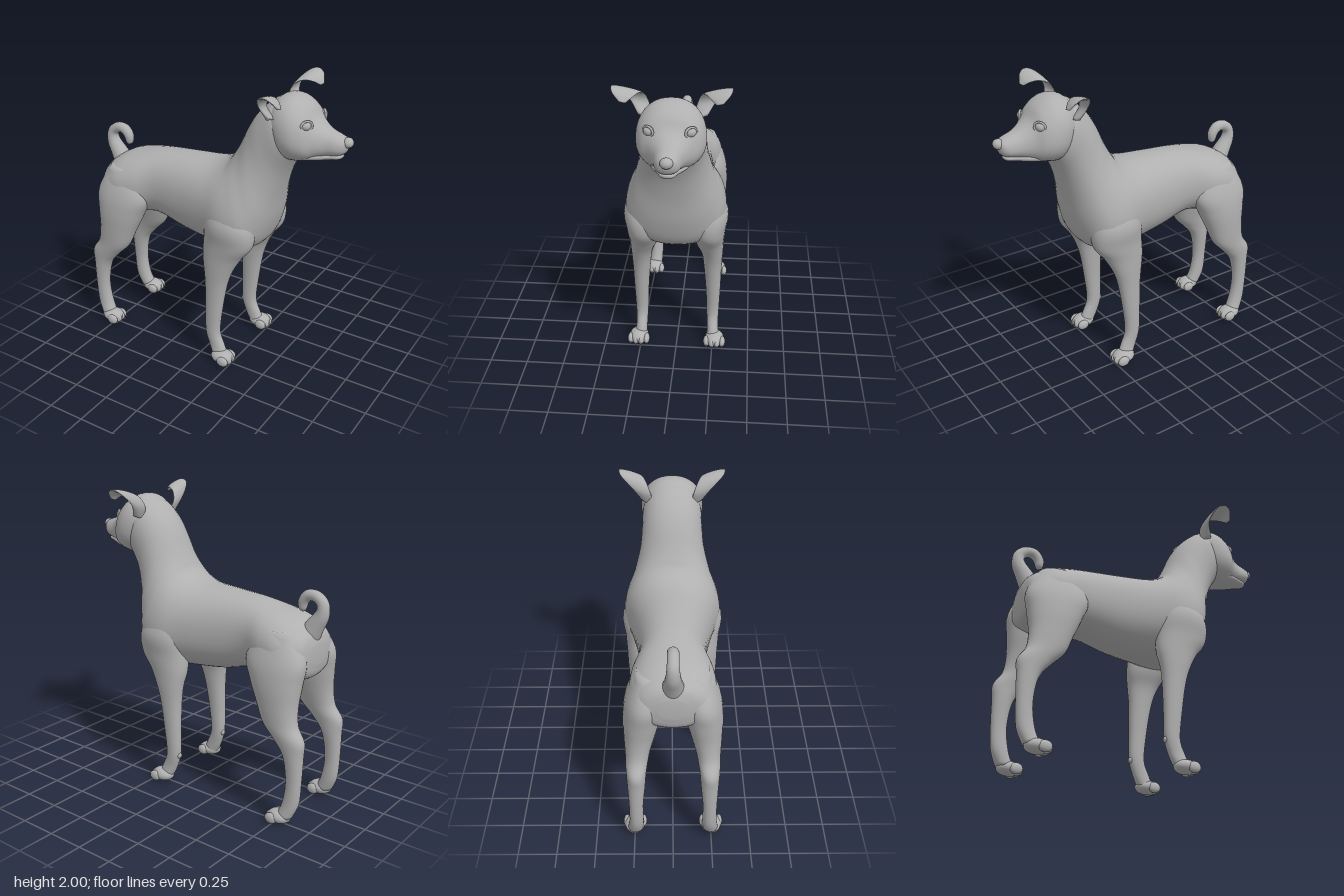
import * as THREE from 'three';

const V = (x, y, z) => new THREE.Vector3(x, y, z);
const coat = new THREE.MeshStandardMaterial({ color: 0xb0b0b0 });
coat.name = 'grey coat';

// Smooth closed skin through rings { c: centre, u, v: half axes, k: skew of v along u }.
function loft(rings, { steps = 5, sides = 32, n = 2 } = {}) {
  const curve = (key) => new THREE.CatmullRomCurve3(rings.map((r) => r[key]), false, 'catmullrom', 0.5);
  const [C, U, W] = ['c', 'u', 'v'].map(curve);
  const K = new THREE.CatmullRomCurve3(rings.map((r) => V(r.k || 0, 0, 0)), false, 'catmullrom', 0.5);
  const rows = (rings.length - 1) * steps;
  const pos = [], idx = [];
  const soft = (t) => Math.sign(t) * Math.abs(t) ** (2 / n);
  for (let i = 0; i <= rows; i++) {
    const t = i / rows, c = C.getPoint(t), u = U.getPoint(t), w = W.getPoint(t), k = K.getPoint(t).x;
    for (let j = 0; j < sides; j++) {
      const a = (j / sides) * Math.PI * 2, cu = soft(Math.cos(a));
      const p = c.clone().addScaledVector(u, cu).addScaledVector(w, soft(Math.sin(a)) * (1 + k * cu));
      pos.push(p.x, p.y, p.z);
    }
  }
  for (let i = 0; i < rows; i++) for (let j = 0; j < sides; j++) {
    const a = i * sides + j, b = i * sides + ((j + 1) % sides);
    idx.push(a, b, a + sides, b, b + sides, a + sides);
  }
  // End caps
  const first = pos.length / 3, c0 = C.getPoint(0), c1 = C.getPoint(1);
  pos.push(c0.x, c0.y, c0.z, c1.x, c1.y, c1.z);
  for (let j = 0; j < sides; j++) {
    const q = (j + 1) % sides;
    idx.push(first, q, j, first + 1, rows * sides + j, rows * sides + q);
  }
  // Turn the faces outward when the enclosed volume is negative
  let vol = 0;
  const at = (i) => V(pos[3 * i], pos[3 * i + 1], pos[3 * i + 2]);
  for (let i = 0; i < idx.length; i += 3) vol += at(idx[i]).dot(at(idx[i + 1]).cross(at(idx[i + 2])));
  if (vol < 0) idx.reverse();
  const g = new THREE.BufferGeometry();
  g.setAttribute('position', new THREE.Float32BufferAttribute(pos, 3));
  g.setIndex(idx);
  g.computeVertexNormals();
  return g;
}

// Ring from its top point, bottom point and half width
const span = ([tx, ty, bx, by, w, k = 0]) => ({
  c: V((tx + bx) / 2, (ty + by) / 2, 0), u: V((tx - bx) / 2, (ty - by) / 2, 0), v: V(0, 0, w), k,
});
// Level ring from its height and its x and z limits
const level = (s) => ([y, x0, x1, z0, z1]) => ({
  c: V((x0 + x1) / 2, y, (s * (z0 + z1)) / 2), u: V((x1 - x0) / 2, 0, 0), v: V(0, 0, (z1 - z0) / 2),
});

export function createModel() {
  const dog = new THREE.Group();
  dog.name = 'dog';
  const add = (name, geo, parent = dog) => {
    const m = new THREE.Mesh(geo, coat);
    m.name = name;
    parent.add(m);
    return m;
  };
  const ball = (name, p, r, parent) => {
    const m = add(name, new THREE.SphereGeometry(1, 20, 14), parent);
    m.position.set(...p);
    m.scale.set(...r);
    return m;
  };

  // Trunk and neck: top x, y, bottom x, y, half width, skew
  add('body', loft([
    [-0.865, 1.15, -0.87, 1.02, 0.08],
    [-0.83, 1.225, -0.84, 0.93, 0.2],
    [-0.72, 1.295, -0.7, 0.88, 0.265],
    [-0.58, 1.335, -0.57, 0.89, 0.255],
    [-0.42, 1.367, -0.42, 0.905, 0.212],
    [-0.2, 1.385, -0.2, 0.852, 0.235],
    [0, 1.4, 0.02, 0.828, 0.28],
    [0.12, 1.45, 0.2, 0.825, 0.322, -0.1],
    [0.17, 1.52, 0.355, 0.885, 0.31, -0.18],
    [0.21, 1.6, 0.425, 1.04, 0.262, -0.18],
    [0.26, 1.71, 0.465, 1.24, 0.218, -0.08],
    [0.32, 1.8, 0.51, 1.4, 0.202],
    [0.41, 1.885, 0.57, 1.52, 0.195],
    [0.47, 1.91, 0.62, 1.56, 0.17],
  ].map(span), { n: 2.2, sides: 40 }));

  // Head
  const head = new THREE.Group();
  head.name = 'head';
  dog.add(head);
  add('skull and muzzle', loft([
    [0.39, 1.85, 0.49, 1.56, 0.16],
    [0.47, 1.922, 0.56, 1.528, 0.2, -0.05],
    [0.56, 1.93, 0.62, 1.535, 0.205, -0.08],
    [0.645, 1.88, 0.675, 1.55, 0.176, -0.08],
    [0.7, 1.805, 0.725, 1.57, 0.128, -0.05],
    [0.77, 1.757, 0.785, 1.59, 0.09, -0.1],
    [0.845, 1.73, 0.85, 1.605, 0.072, -0.1],
    [0.885, 1.712, 0.88, 1.62, 0.052],
    [0.9, 1.69, 0.895, 1.645, 0.02],
  ].map(span), { n: 2.25, sides: 40 }));
  add('lower jaw', loft([
    [0.62, 1.62, 0.63, 1.54, 0.13],
    [0.72, 1.62, 0.72, 1.552, 0.1],
    [0.8, 1.62, 0.8, 1.568, 0.062],
    [0.85, 1.615, 0.85, 1.577, 0.042],
    [0.868, 1.605, 0.868, 1.59, 0.015],
  ].map(span)), head);
  ball('nose', [0.893, 1.69, 0], [0.034, 0.032, 0.038], head);

  // Paw with toes and claws
  function paw(name, x, z, parent) {
    const g = new THREE.Group();
    g.name = name;
    g.position.set(x, 0, z);
    parent.add(g);
    ball('paw pad', [0, 0.046, 0], [0.08, 0.046, 0.066], g);
    for (const k of [-1.5, -0.5, 0.5, 1.5]) {
      const front = 0.05 - Math.abs(k) * 0.012;
      ball('toe', [front, 0.038, k * 0.036], [0.043, 0.036, 0.023], g);
      const claw = add('claw', new THREE.ConeGeometry(0.01, 0.03, 8), g);
      claw.position.set(front + 0.041, 0.025, k * 0.036);
      claw.rotation.z = -2;
    }
  }

  for (const s of [1, -1]) {
    const side = s < 0 ? 'right' : 'left';
    // Front leg: y, x limits, z limits
    add(side + 'FrontLeg', loft([
      [1.27, 0.08, 0.27, 0.08, 0.25],
      [1.08, 0.04, 0.37, 0.08, 0.337],
      [0.93, 0.025, 0.375, 0.1, 0.325],
      [0.82, 0.02, 0.3, 0.125, 0.315],
      [0.72, 0.035, 0.245, 0.165, 0.31],
      [0.6, 0.047, 0.205, 0.182, 0.303],
      [0.4, 0.05, 0.172, 0.198, 0.297],
      [0.22, 0.052, 0.155, 0.205, 0.29],
      [0.12, 0.078, 0.19, 0.21, 0.287],
      [0.04, 0.115, 0.225, 0.21, 0.3],
    ].map(level(s)), { n: 2.15 }));
    ball(side + ' dewclaw', [0.06, 0.21, s * 0.245], [0.018, 0.022, 0.02]);
    paw(side + 'FrontPaw', 0.185, s * 0.265, dog);

    // Hind leg with thigh and hock
    add(side + 'HindLeg', loft([
      [1.24, -0.78, -0.55, 0.05, 0.22],
      [1.06, -0.87, -0.46, 0.05, 0.29],
      [0.92, -0.862, -0.505, 0.07, 0.31],
      [0.78, -0.85, -0.567, 0.11, 0.307],
      [0.66, -0.865, -0.62, 0.145, 0.3],
      [0.57, -0.92, -0.705, 0.165, 0.295],
      [0.47, -0.917, -0.782, 0.175, 0.287],
      [0.3, -0.912, -0.81, 0.19, 0.28],
      [0.15, -0.9, -0.79, 0.19, 0.282],
      [0.05, -0.86, -0.75, 0.195, 0.295],
    ].map(level(s)), { n: 2.15 }));
    paw(side + 'HindPaw', -0.775, s * 0.25, dog);

    // Ear folded forward: x, y, z, half width
    const ear = [
      [0.46, 1.8, 0.165, 0.04], [0.425, 1.88, 0.2, 0.06], [0.45, 1.95, 0.25, 0.085],
      [0.505, 1.973, 0.272, 0.08], [0.55, 1.955, 0.282, 0.058], [0.575, 1.92, 0.28, 0.02],
    ];
    const fold = [[1, 0.3], [1, 0.1], [0.6, -0.6], [0, -1], [-0.7, -0.6], [-1, -0.3]];
    add(side + 'Ear', loft(ear.map(([x, y, z, w], i) => ({
      c: V(x, y, s * z),
      u: V(0.1, 0.25, s).multiplyScalar(w),
      v: V(...fold[i], 0).multiplyScalar(i === 0 ? 0.025 : 0.012),
    })), { sides: 20 }), head);

    // Eye and lids
    ball(side + 'Eye', [0.665, 1.788, s * 0.115], [0.034, 0.031, 0.037], head);
    const lid = add(side + 'Eyelid', new THREE.TorusGeometry(0.036, 0.008, 8, 24), head);
    lid.position.set(0.677, 1.788, s * 0.122);
    lid.rotation.y = Math.PI / 2 - s * 0.65;
    lid.scale.y = 0.85;
  }

  // Curled tail: x, y, radius
  const curl = [
    [-0.78, 1.17, 0.075], [-0.835, 1.26, 0.058], [-0.878, 1.335, 0.045], [-0.877, 1.4, 0.038],
    [-0.83, 1.438, 0.036], [-0.775, 1.435, 0.036], [-0.742, 1.395, 0.034], [-0.738, 1.35, 0.026], [-0.745, 1.33, 0.008],
  ];
  add('tail', loft(curl.map(([x, y, r], i) => {
    const a = curl[Math.max(i - 1, 0)], b = curl[Math.min(i + 1, curl.length - 1)];
    const d = V(b[0] - a[0], b[1] - a[1], 0).normalize();
    return { c: V(x, y, 0), u: V(d.y, -d.x, 0).multiplyScalar(r), v: V(0, 0, r) };
  }), { sides: 18 }));

  return dog;
}
